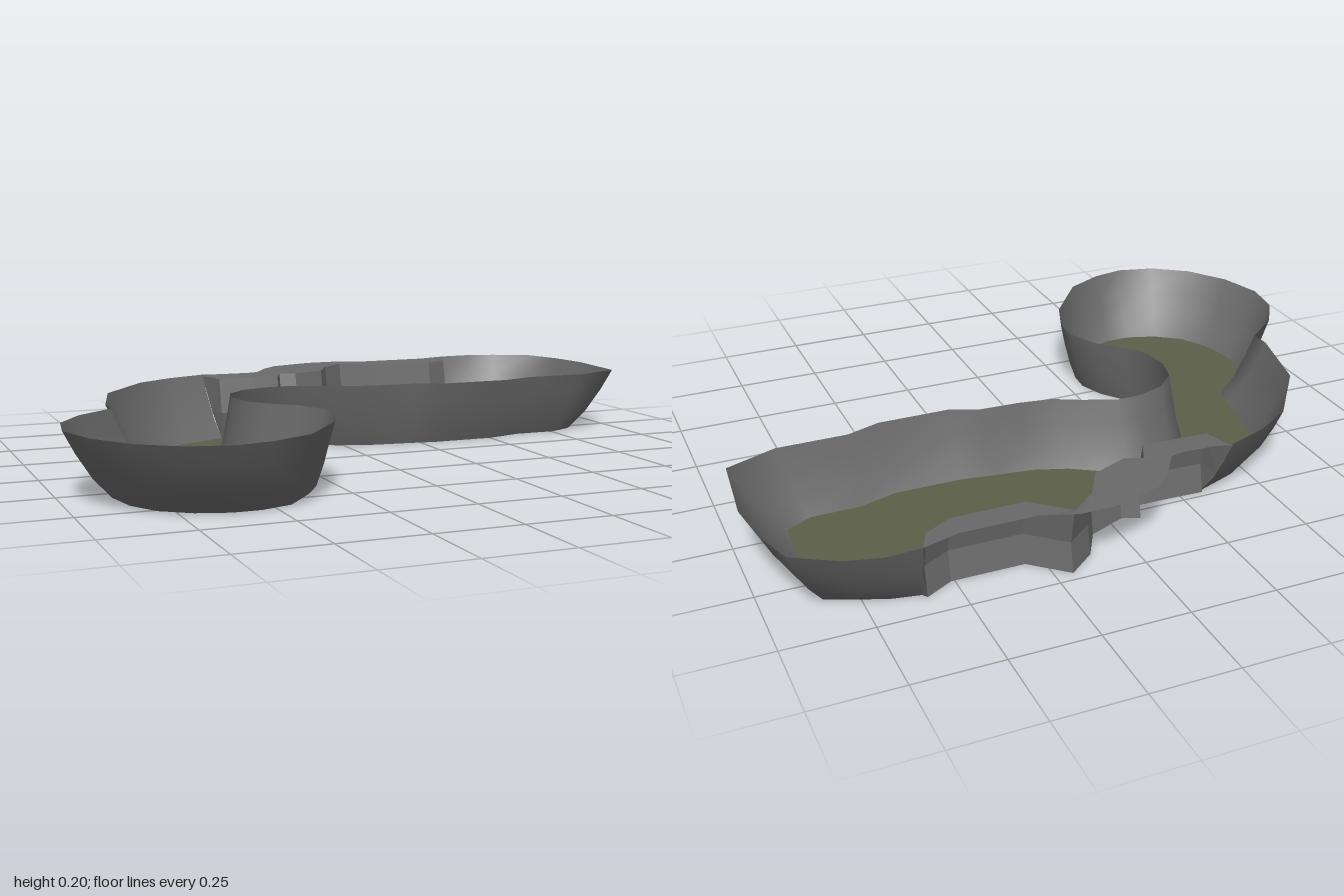
import * as THREE from 'three';

const rockMat = new THREE.MeshStandardMaterial({ color: 0x6a6a6a, side: THREE.DoubleSide });
const cragMat = new THREE.MeshStandardMaterial({ color: 0x6a6a6a, side: THREE.DoubleSide });
const floorMat = new THREE.MeshStandardMaterial({ color: 0x5b5e47, side: THREE.DoubleSide });

// Smooth bank, as [x, z] outlines: rim and matching foot, from the back round the front to the arm
const bankRim = [
  [0.62, -0.75], [0.72, -0.755], [0.82, -0.73], [0.94, -0.66], [0.98, -0.54], [1, -0.4], [0.98, -0.16],
  [0.83, -0.1], [0.62, -0.1], [0.52, -0.065], [0.3, -0.065], [0.22, -0.1], [0.1, -0.105], [0, -0.12],
  [-0.08, -0.16], [-0.18, -0.2], [-0.25, -0.2], [-0.34, -0.17], [-0.4, -0.11], [-0.42, -0.03],
  [-0.41, 0.06], [-0.36, 0.13], [-0.29, 0.2], [-0.25, 0.29], [-0.25, 0.37], [-0.3, 0.5], [-0.43, 0.67],
  [-0.55, 0.73], [-0.65, 0.75], [-0.77, 0.72], [-0.88, 0.64], [-0.96, 0.52], [-1, 0.38], [-0.98, 0.25],
  [-0.91, 0.14], [-0.8, 0.05], [-0.8, -0.02], [-0.74, -0.26], [-0.59, -0.46], [-0.48, -0.53], [-0.35, -0.58],
];
const bankFoot = [
  [0.6, -0.66], [0.68, -0.645], [0.77, -0.61], [0.84, -0.58], [0.85, -0.5], [0.85, -0.38], [0.84, -0.21],
  [0.76, -0.17], [0.62, -0.17], [0.5, -0.135], [0.3, -0.135], [0.2, -0.15], [0.08, -0.165], [-0.02, -0.2],
  [-0.1, -0.25], [-0.18, -0.28], [-0.26, -0.28], [-0.36, -0.23], [-0.43, -0.15], [-0.445, -0.04],
  [-0.43, 0.08], [-0.39, 0.14], [-0.33, 0.22], [-0.3, 0.3], [-0.305, 0.37], [-0.36, 0.46], [-0.45, 0.57],
  [-0.54, 0.6], [-0.62, 0.6], [-0.71, 0.57], [-0.79, 0.51], [-0.84, 0.42], [-0.86, 0.31], [-0.85, 0.22],
  [-0.8, 0.13], [-0.7, 0.07], [-0.68, 0], [-0.64, -0.22], [-0.54, -0.36], [-0.45, -0.42], [-0.32, -0.47],
];

// Craggy back: outer rim of the ledge and its inner lip
const ledgeRim = [
  [-0.35, -0.58], [-0.3, -0.57], [-0.2, -0.565], [-0.16, -0.575], [-0.11, -0.65], [-0.05, -0.71],
  [0.09, -0.755], [0.15, -0.755], [0.2, -0.755], [0.3, -0.72], [0.52, -0.72], [0.6, -0.745], [0.62, -0.75],
];
const ledgeLip = [
  [-0.35, -0.58], [-0.32, -0.485], [-0.2, -0.48], [-0.12, -0.48], [-0.09, -0.545], [-0.04, -0.525],
  [0.07, -0.57], [0.12, -0.66], [0.2, -0.725], [0.3, -0.635], [0.51, -0.635], [0.59, -0.68], [0.62, -0.75],
];

const lift = (line, y, dz = 0) => line.map(([x, z]) => [x, y, z + dz]);
const blend = (a, b, t, y) => a.map(([x, z], i) => [x + (b[i][0] - x) * t, y, z + (b[i][1] - z) * t]);

// Surface through a stack of lines with equal point counts
function loft(lines) {
  const n = lines[0].length, index = [];
  for (let r = 0; r < lines.length - 1; r++)
    for (let i = 0; i < n - 1; i++) {
      const a = r * n + i, b = a + n;
      index.push(a, a + 1, b, a + 1, b + 1, b);
    }
  const geo = new THREE.BufferGeometry();
  geo.setAttribute('position', new THREE.Float32BufferAttribute(lines.flat(2), 3));
  geo.setIndex(index);
  geo.computeVertexNormals();
  return geo;
}

function facet(geo) {
  const flat = geo.toNonIndexed();
  flat.computeVertexNormals();
  return flat;
}

export function createModel() {
  const group = new THREE.Group();
  const add = (name, geo, mat) => {
    const mesh = new THREE.Mesh(geo, mat);
    mesh.name = name;
    group.add(mesh);
  };

  // Foot of the crag meets the bank at both ends
  const last = ledgeLip.length - 1;
  const cragFoot = ledgeLip.map(([x, z], i) =>
    i === 0 ? bankFoot[bankFoot.length - 1] : i === last ? bankFoot[0] : [x, z + 0.005]);
  const cragBulge = ledgeLip.map(([x, z], i) =>
    i === 0 || i === last ? [(x + cragFoot[i][0]) / 2, (z + cragFoot[i][1]) / 2] : [x, z + 0.022]);

  // Sloping bank
  add('bank', loft([
    lift(bankRim, 0.205),
    blend(bankRim, bankFoot, 0.25, 0.14),
    blend(bankRim, bankFoot, 0.6, 0.065),
    lift(bankFoot, 0.005),
  ]), rockMat);

  // Flat ledge and the steep crag below it
  add('ledge', facet(loft([lift(ledgeRim, 0.205), lift(ledgeLip, 0.2)])), cragMat);
  add('crag', facet(loft([lift(ledgeLip, 0.2), lift(cragBulge, 0.09), lift(cragFoot, 0.005)])), cragMat);

  // Floor bounded by both feet
  const outline = [...bankFoot, ...cragFoot.slice(1, last)];
  const shape = new THREE.Shape(outline.map(([x, z]) => new THREE.Vector2(x, -z)));
  const floor = new THREE.ShapeGeometry(shape);
  floor.rotateX(-Math.PI / 2);
  floor.translate(0, 0.005, 0);
  add('floor', floor, floorMat);

  group.position.y = -0.005;
  return group;
}
